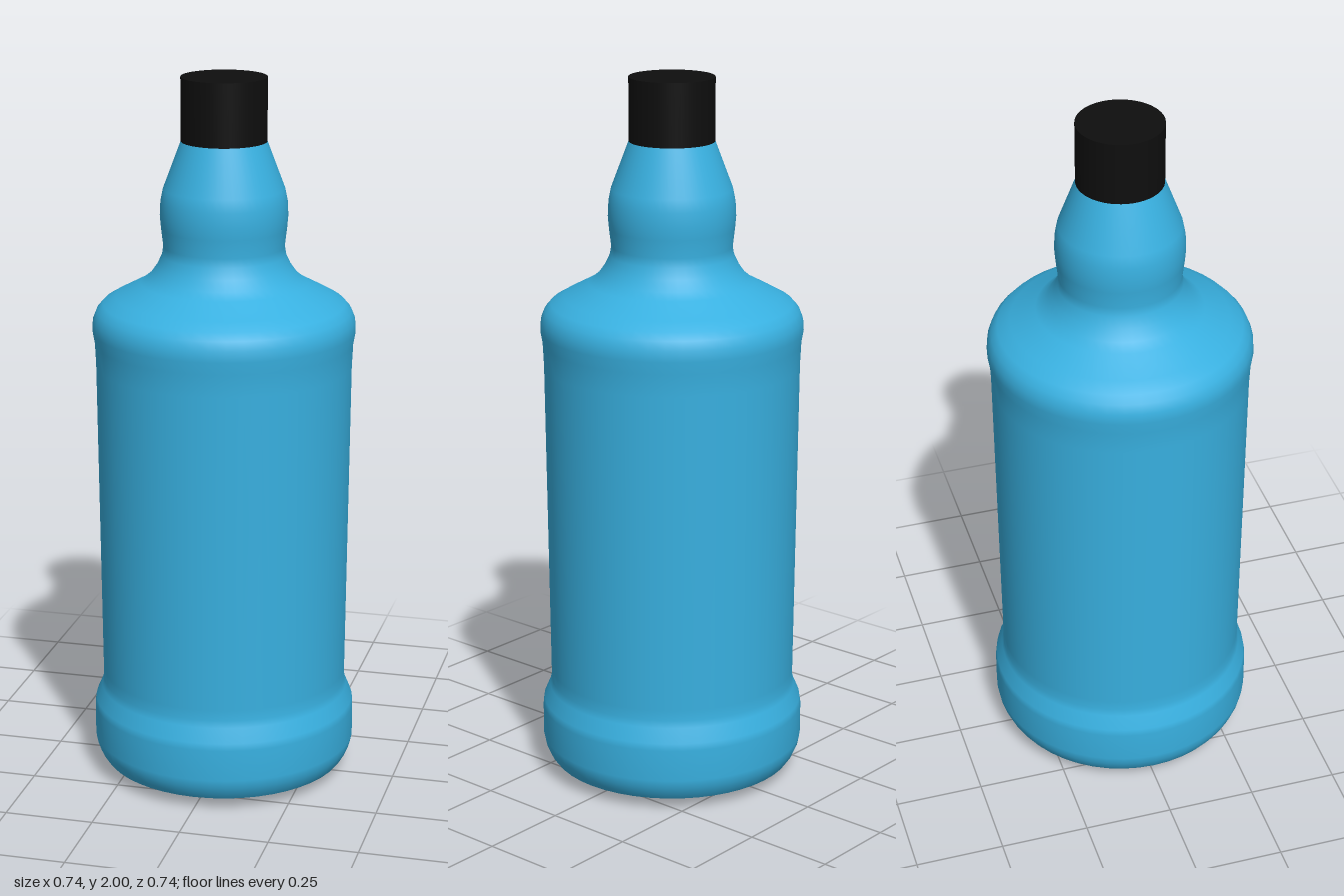
import * as THREE from 'three';

const SEGMENTS = 48;

// Revolve a profile of [radius, height] pairs, listed from bottom to top.
function turned(name, profile, material) {
  const points = profile.map(([r, y]) => new THREE.Vector2(r, y));
  const mesh = new THREE.Mesh(new THREE.LatheGeometry(points, SEGMENTS), material);
  mesh.name = name;
  return mesh;
}

export function createModel() {
  const bottle = new THREE.Group();
  bottle.name = 'bottle';

  const glass = new THREE.MeshStandardMaterial({ color: 0x38b0e0 });
  const black = new THREE.MeshStandardMaterial({ color: 0x0e0e0e });

  // Underside: recessed centre, standing ring and rounded rim
  bottle.add(turned('base', [
    [0, 0.035], [0.155, 0.035], [0.185, 0.028], [0.215, 0.008], [0.24, 0],
    [0.262, 0.002], [0.29, 0.01], [0.345, 0.035],
  ], glass));

  // Heel band, slightly flared wall, shoulder and bulbous neck
  bottle.add(turned('body', [
    [0.345, 0.035], [0.357, 0.052], [0.367, 0.075], [0.372, 0.1],
    [0.372, 0.19], [0.369, 0.21], [0.352, 0.25], [0.347, 0.27], [0.347, 0.3],
    [0.356, 1.2], [0.359, 1.265], [0.365, 1.3], [0.363, 1.33], [0.353, 1.355],
    [0.335, 1.375], [0.3, 1.395], [0.23, 1.432], [0.205, 1.452], [0.185, 1.48],
    [0.171, 1.51], [0.167, 1.535], [0.173, 1.585], [0.176, 1.62], [0.174, 1.66],
    [0.167, 1.695], [0.118, 1.825],
  ], glass));

  // Straight cap
  const cap = new THREE.Mesh(new THREE.CylinderGeometry(0.118, 0.118, 0.18, SEGMENTS), black);
  cap.name = 'cap';
  cap.position.y = 1.91;
  bottle.add(cap);

  return bottle;
}
